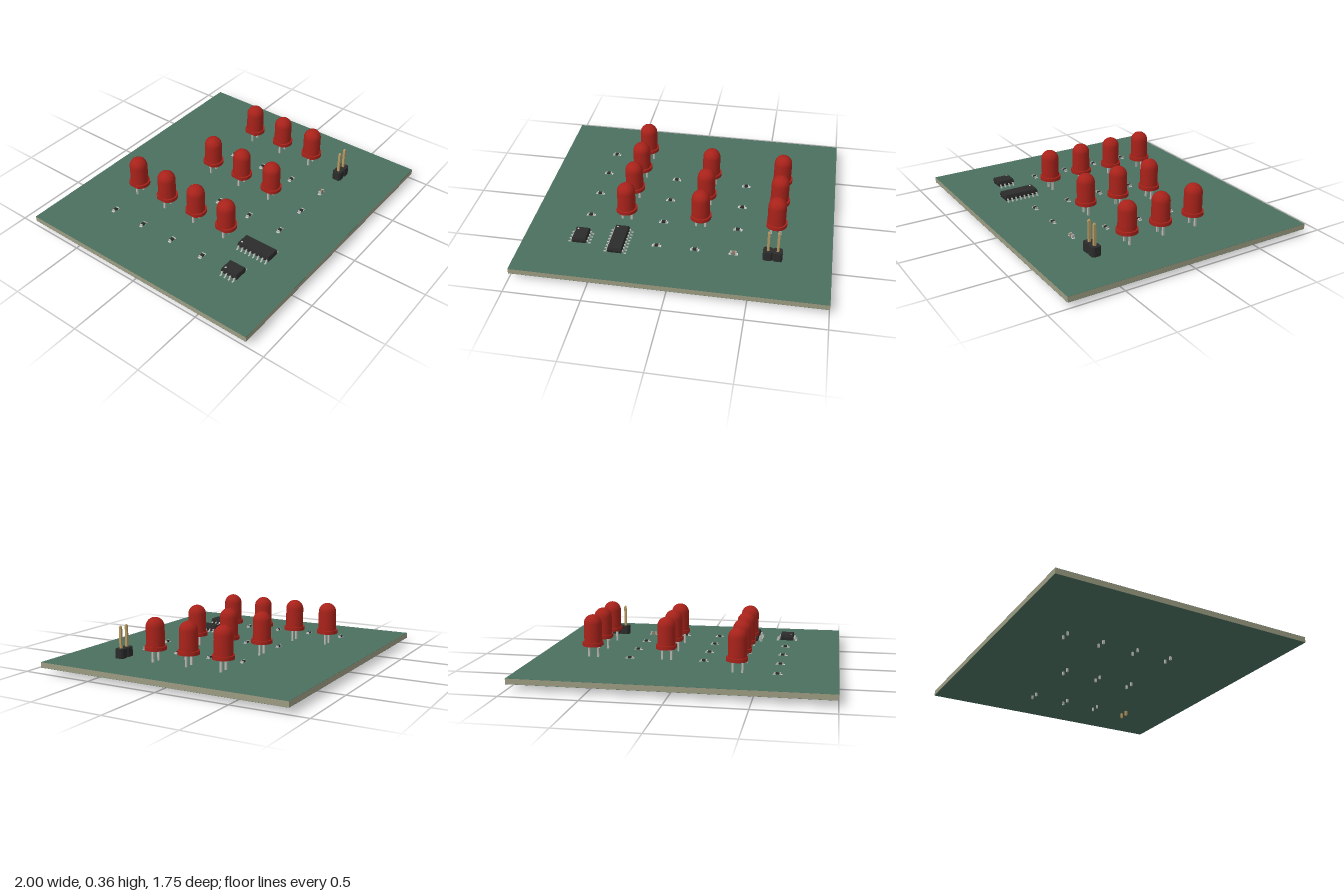
import * as THREE from 'three';
import { toCreasedNormals } from 'three/addons/utils/BufferGeometryUtils.js';

const mat = (color) => new THREE.MeshStandardMaterial({ color });
const green = mat(0x4a7060), edge = mat(0x9c9b82), red = mat(0xa8221a), black = mat(0x2b2b2b),
  silver = mat(0xb8b8b4), gold = mat(0xb89a62), tan = mat(0x8a7a66), white = mat(0xd8d8d4);
const TOP = 0.077;

function add(parent, name, geometry, material, x = 0, y = 0, z = 0) {
  const mesh = new THREE.Mesh(geometry, material);
  mesh.name = name;
  mesh.position.set(x, y, z);
  parent.add(mesh);
  return mesh;
}
const box = (w, h, d) => new THREE.BoxGeometry(w, h, d);

function group(parent, name, x, z) {
  const g = new THREE.Group();
  g.name = name;
  g.position.set(x, TOP, z);
  parent.add(g);
  return g;
}

// Box whose top and bottom faces can be narrower than its middle
function taperedBox(w, h, d, top, bottom) {
  const g = box(w, h, d), p = g.attributes.position;
  for (let i = 0; i < p.count; i++) {
    const inset = p.getY(i) > 0 ? top : bottom;
    p.setX(i, p.getX(i) - Math.sign(p.getX(i)) * inset);
    p.setZ(i, p.getZ(i) - Math.sign(p.getZ(i)) * inset);
  }
  g.computeVertexNormals();
  return g;
}

// Square pin with pointed ends
function pinGeometry(size, bottom, top) {
  const r = size / Math.SQRT2, t = size * 0.5;
  const pts = [[0, bottom], [r * 0.5, bottom], [r, bottom + t], [r, top - t], [r * 0.5, top], [0, top]];
  const g = new THREE.LatheGeometry(pts.map(([x, y]) => new THREE.Vector2(x, y)), 4);
  g.rotateY(Math.PI / 4);
  return toCreasedNormals(g, 0.3);
}

// Domed lens profile, straight wall then a quarter circle
function lensGeometry() {
  const r = 0.06, pts = [new THREE.Vector2(0, 0.078), new THREE.Vector2(r, 0.078)];
  for (let i = 0; i <= 10; i++) {
    const a = (i / 10) * Math.PI / 2;
    pts.push(new THREE.Vector2(i === 10 ? 0 : r * Math.cos(a), 0.228 + r * Math.sin(a)));
  }
  return toCreasedNormals(new THREE.LatheGeometry(pts, 32), 0.6);
}

// Round rim cut flat on one side
function flangeGeometry() {
  const g = new THREE.CylinderGeometry(0.071, 0.071, 0.024, 48), p = g.attributes.position;
  for (let i = 0; i < p.count; i++) p.setX(i, Math.max(p.getX(i), -0.062));
  return toCreasedNormals(g, 0.3);
}

// Gull-wing lead, pointing to +x from the package side
function leadGeometry() {
  const s = new THREE.Shape();
  [[0.046, 0.020], [0.057, 0.020], [0.062, 0.004], [0.074, 0.004], [0.074, 0], [0.059, 0], [0.054, 0.025], [0.046, 0.025]]
    .forEach(([x, y], i) => (i ? s.lineTo(x, y) : s.moveTo(x, y)));
  const g = new THREE.ExtrudeGeometry(s, { depth: 0.01, bevelEnabled: false });
  return g.translate(0, 0, -0.005);
}

const lens = lensGeometry(), flange = flangeGeometry(), lead = leadGeometry();

function addLamp(root, x, z) {
  const g = group(root, 'lamp', x, z);
  add(g, 'lampLens', lens, red);
  add(g, 'lampFlange', flange, red, 0, 0.09, 0);
  for (const s of [-1, 1]) add(g, 'lampLeg', box(0.0125, 0.14, 0.0125), silver, s * 0.031, 0.008, 0);
}

function addChip(root, x, z, perSide, length) {
  const g = group(root, 'chip', x, z);
  add(g, 'chipUpperBody', taperedBox(0.096, 0.02, length, 0.005, 0), black, 0, 0.034, 0);
  add(g, 'chipLowerBody', taperedBox(0.096, 0.019, length, 0, 0.004), black, 0, 0.0145, 0);
  add(g, 'firstPinMark', new THREE.CylinderGeometry(0.007, 0.007, 0.001, 16), silver, -0.028, 0.0443, -length / 2 + 0.022);
  for (let i = 0; i < perSide; i++) {
    const lz = (i - (perSide - 1) / 2) * 0.03125;
    for (const side of [0, Math.PI]) add(g, 'chipLead', lead, silver, 0, 0.001, lz).rotation.y = side;
  }
}

// Surface-mount part: body, two end caps and solder pads
function addSmallPart(root, name, x, z, height, bodyMaterial) {
  const g = group(root, name, x, z);
  add(g, name + 'Body', box(0.026, height - 0.001, 0.019), bodyMaterial, 0, height / 2 + 0.001, 0);
  for (const s of [-1, 1]) {
    add(g, name + 'Cap', box(0.008, height, 0.02), silver, s * 0.0165, height / 2 + 0.001, 0);
    add(g, name + 'Pad', box(0.02, 0.001, 0.022), white, s * 0.02, 0.0005, 0);
  }
}

function addHeader(root, x, z) {
  const g = group(root, 'pinHeader', x, z);
  const h = 0.03125, c = 0.011, s = new THREE.Shape();
  [[-h, c - h], [c - h, -h], [h - c, -h], [h, c - h], [h, h - c], [h - c, h], [c - h, h], [-h, h - c]]
    .forEach(([a, b], i) => (i ? s.lineTo(a, b) : s.moveTo(a, b)));
  const block = new THREE.ExtrudeGeometry(s, { depth: 0.0625, bevelEnabled: false }).rotateX(-Math.PI / 2);
  const pin = pinGeometry(0.0157, -TOP, 0.211);
  for (const side of [-1, 1]) {
    add(g, 'headerBlock', block, black, side * h);
    add(g, 'headerPin', pin, gold, side * h);
  }
}

export function createModel() {
  const root = new THREE.Group();
  root.name = 'circuitBoard';

  // Board core with a coloured layer on both faces
  add(root, 'boardCore', box(2, 0.035, 1.75), edge, 0, 0.0585, 0);
  add(root, 'boardTopLayer', box(2, 0.001, 1.75), green, 0, TOP - 0.0005, 0);
  add(root, 'boardBottomLayer', box(2, 0.001, 1.75), green, 0, 0.0405, 0);

  // Lamps in three columns
  for (const x of [-0.375, 0.125, 0.625])
    for (const z of [-0.25, 0, 0.25]) addLamp(root, x, z);
  addLamp(root, -0.375, -0.5);

  // Resistors beside the lamps and along the front row
  for (const x of [-0.625, -0.125, 0.375])
    for (const z of [-0.25, 0, 0.25]) addSmallPart(root, 'resistor', x, z, 0.011, black);
  for (const [x, z] of [[-0.625, -0.5], [-0.125, 0.5], [0.125, 0.5]])
    addSmallPart(root, 'resistor', x, z, 0.011, black);

  // Front row: capacitor, chips and pin header
  addSmallPart(root, 'capacitor', 0.375, 0.5, 0.02, tan);
  addChip(root, -0.625, 0.5, 4, 0.121);
  addChip(root, -0.375, 0.5, 8, 0.244);
  addHeader(root, 0.625, 0.5);
  return root;
}
